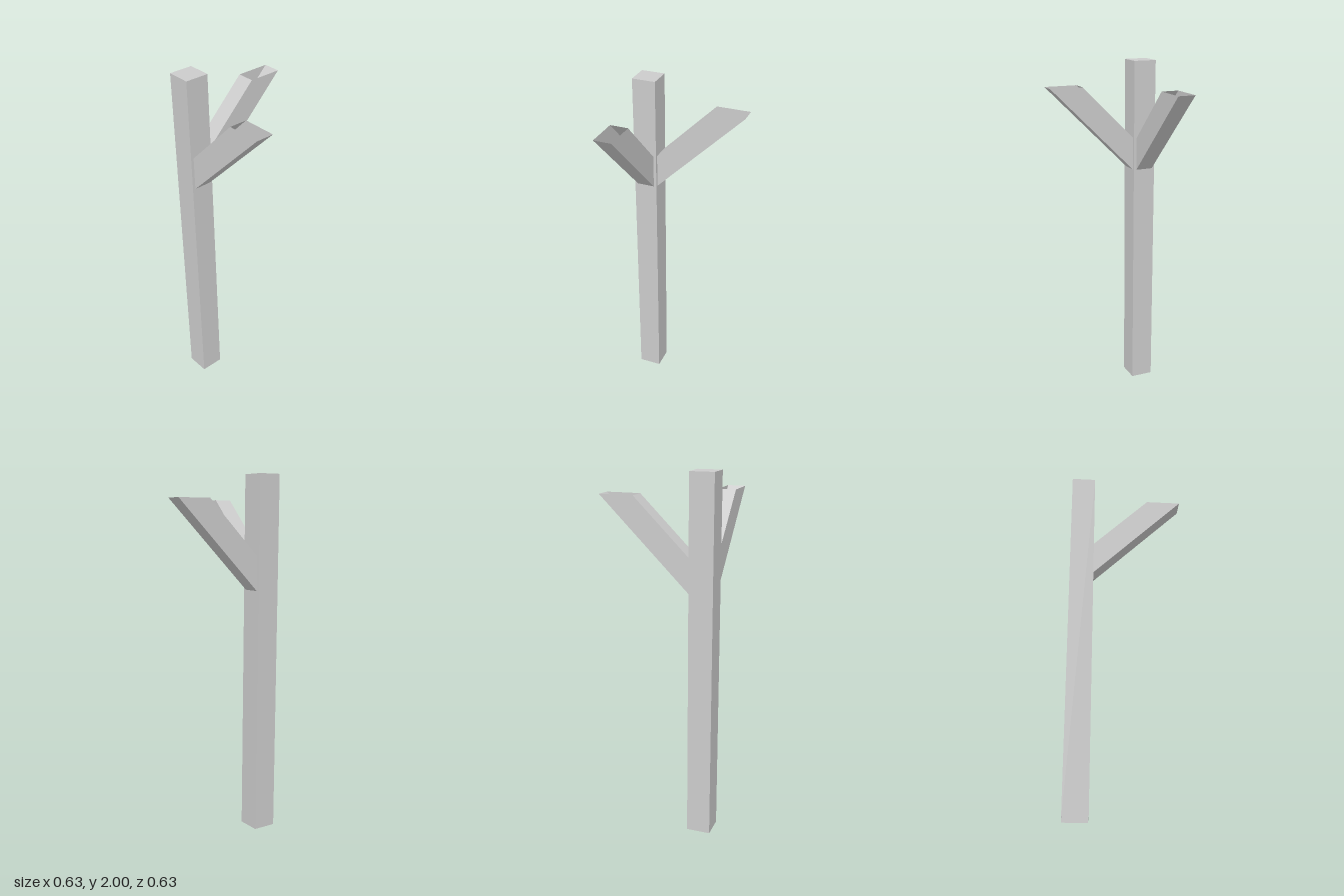
import * as THREE from 'three';

const HALF = 0.066;      // half width of the post
const AXIS = -0.249;     // post axis in x and z
const ARM_HALF = 0.05;   // half width of an arm

const material = new THREE.MeshStandardMaterial({
  color: 0xcccccc, flatShading: true, side: THREE.DoubleSide,
});

// Open four-sided tube between two rings of corners, optionally closed at the end
function squareTube(start, end, capped) {
  const indices = [];
  for (let i = 0; i < 4; i++) {
    const j = (i + 1) % 4;
    indices.push(i, j, j + 4, i, j + 4, i + 4);
  }
  if (capped) indices.push(4, 5, 6, 4, 6, 7);
  const geometry = new THREE.BufferGeometry();
  geometry.setAttribute('position', new THREE.Float32BufferAttribute([...start, ...end].flat(), 3));
  geometry.setIndex(indices);
  const flat = geometry.toNonIndexed();
  flat.computeVertexNormals();
  return flat;
}

// Horizontal square ring of the post
const postRing = (y) => [[-HALF, y, HALF], [HALF, y, HALF], [HALF, y, -HALF], [-HALF, y, -HALF]];

// Ring of the arm: lower edge, then upper edge
const armRing = (lowX, lowY, highX, highY) => [
  [lowX, lowY, -ARM_HALF], [lowX, lowY, ARM_HALF],
  [highX, highY, ARM_HALF], [highX, highY, -ARM_HALF],
];

export function createModel() {
  const model = new THREE.Group();
  model.name = 'cornerPost';

  // Hollow post, closed on top and open below
  const post = new THREE.Mesh(squareTube(postRing(0), postRing(2), true), material);
  post.name = 'post';
  post.position.set(AXIS, 0, AXIS);
  model.add(post);

  // Two hollow braces rising at 45 degrees, cut level and open at the top
  const armGeometry = squareTube(
    armRing(HALF, 1.373, HALF, 1.562),
    armRing(0.564, 1.868, 0.374, 1.868),
    false,
  );
  [['leftBrace', 0], ['frontBrace', -Math.PI / 2]].forEach(([name, angle]) => {
    const brace = new THREE.Mesh(armGeometry, material);
    brace.name = name;
    brace.position.set(AXIS, 0, AXIS);
    brace.rotation.y = angle;
    model.add(brace);
  });

  return model;
}
